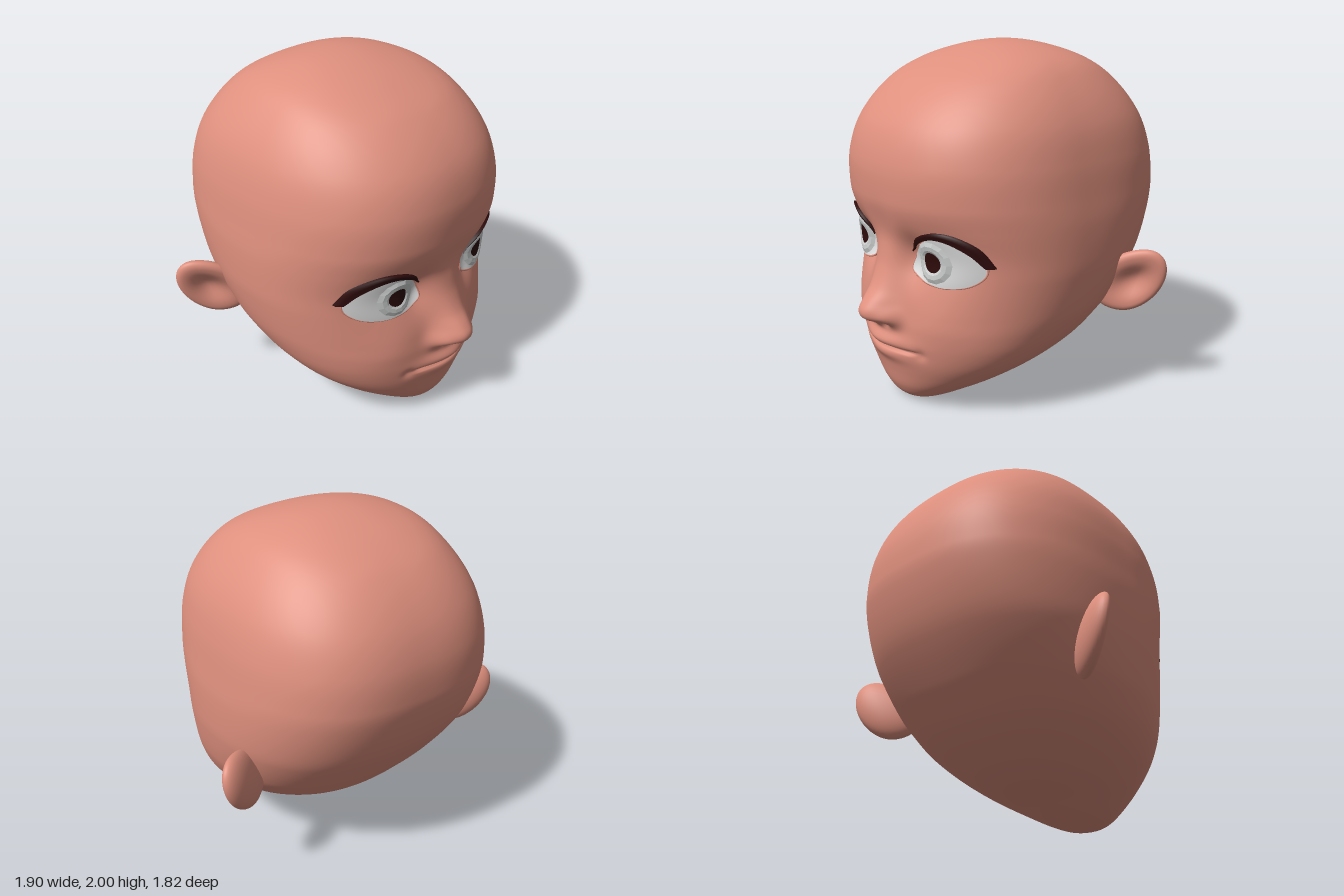
import * as THREE from 'three';

const mat = (name, color, opts = {}) => {
  const m = new THREE.MeshStandardMaterial({ color, ...opts });
  m.name = name;
  return m;
};

// Skull levels: y, half width, front z, back z, z of widest point, front and back roundness
const LEVELS = [
  [0, 0, .55, .55, .55, 2, 2],
  [.02, .13, .645, .44, .55, 2, 2],
  [.1, .30, .71, .19, .46, 2, 2],
  [.2, .46, .74, -.11, .36, 2, 2],
  [.3, .58, .765, -.31, .27, 2, 2.05],
  [.4, .66, .775, -.455, .18, 2.05, 2.15],
  [.5, .71, .77, -.55, .11, 2.1, 2.25],
  [.6, .745, .76, -.635, .06, 2.1, 2.35],
  [.8, .782, .745, -.775, .01, 2.15, 2.5],
  [.92, .79, .755, -.835, 0, 2.15, 2.57],
  [1.08, .79, .785, -.888, 0, 2.2, 2.65],
  [1.2, .78, .803, -.908, 0, 2.27, 2.7],
  [1.4, .755, .80, -.895, 0, 2.3, 2.7],
  [1.6, .70, .73, -.82, 0, 2.25, 2.65],
  [1.8, .575, .54, -.66, -.02, 2.25, 2.5],
  [1.9, .46, .345, -.5, -.06, 2.25, 2.4],
  [1.97, .265, .13, -.31, -.09, 2.1, 2.2],
  [2, 0, -.1, -.1, -.1, 2, 2],
];
// Nose ridge: y, height above the face
const NOSE = [[.42, 0], [.47, .02], [.505, .07], [.54, .132], [.585, .148], [.63, .125],
  [.7, .075], [.8, .036], [.9, .012], [1.0, 0], [1.3, 0]];

// Smooth interpolation through uneven knots
function hermite(ks, vs, k) {
  const n = ks.length;
  if (k <= ks[0]) return vs[0];
  if (k >= ks[n - 1]) return vs[n - 1];
  let i = 0;
  while (k > ks[i + 1]) i++;
  const slope = a => {
    const lo = Math.max(a - 1, 0), hi = Math.min(a + 1, n - 1);
    return (vs[hi] - vs[lo]) / (ks[hi] - ks[lo]);
  };
  const h = ks[i + 1] - ks[i], t = (k - ks[i]) / h, t2 = t * t, t3 = t2 * t;
  return (2 * t3 - 3 * t2 + 1) * vs[i] + (t3 - 2 * t2 + t) * h * slope(i)
    + (3 * t2 - 2 * t3) * vs[i + 1] + (t3 - t2) * h * slope(i + 1);
}

const angleOf = y => Math.acos(THREE.MathUtils.clamp(1 - y, -1, 1));
const knots = LEVELS.map(l => angleOf(l[0]));
const columns = [1, 2, 3, 4, 5, 6].map(c => LEVELS.map(l => l[c]));
const noseY = NOSE.map(p => p[0]), noseH = NOSE.map(p => p[1]);

function level(y) {
  const [w, zf, zb, cz, nf, nb] = columns.map(v => hermite(knots, v, angleOf(y)));
  return { w: Math.max(w, 1e-4), df: Math.max(zf - cz, 1e-4), db: Math.max(cz - zb, 1e-4), cz, nf, nb };
}

const bump = (x, y, cx, cy, sx, sy) => Math.exp(-(((x - cx) / sx) ** 2) - ((y - cy) / sy) ** 2);

// Forward relief of nose, lips, cheeks and eye sockets
function relief(x, y) {
  const a = Math.abs(x);
  const mouthY = .362 + .1 * a * a;
  const inMouth = 1 - THREE.MathUtils.smoothstep(a, .2, .28);
  return hermite(noseY, noseH, y) * Math.exp(-((a / .12) ** 2.5))
    + .03 * bump(a, y, .125, .555, .05, .05)
    - .03 * bump(a, y, .065, .505, .035, .02)
    + .042 * bump(a, y, 0, .405, .17, .042)
    + .024 * bump(a, y, 0, .32, .16, .04)
    - .026 * inMouth * Math.exp(-(((y - mouthY) / .011) ** 2))
    - .012 * bump(a, y, .28, .365, .03, .03)
    + .015 * bump(a, y, .38, .56, .15, .13)
    - .015 * bump(a, y, 0, 1.02, .12, .11)
    - .045 * bump(a, y, .37, .92, .2, .15)
    - .05 * bump(a, y, .21, .89, .09, .13);
}

// Depth of the face surface, and of the eyeball standing just proud of it
function faceZ(x, y) {
  const l = level(y);
  return l.cz + l.df * Math.pow(Math.max(0, 1 - (Math.abs(x) / l.w) ** l.nf), 1 / l.nf) + relief(x, y);
}
const eyeZ = (x, y) =>
  faceZ(x, y) + .008 + .022 * Math.max(0, 1 - ((x - .41) / .21) ** 2 - ((y - .905) / .14) ** 2);

// Surface from a grid of points; side -1 mirrors it across x
function grid(rows, cols, fn, wrap, side = 1) {
  const pos = [], idx = [], n = wrap ? cols : cols + 1;
  for (let i = 0; i <= rows; i++)
    for (let j = 0; j < n; j++) {
      const p = fn(i / rows, j / cols);
      pos.push(p[0] * side, p[1], p[2]);
    }
  for (let i = 0; i < rows; i++)
    for (let j = 0; j < cols; j++) {
      const k = (j + 1) % n;
      const a = i * n + j, b = i * n + k, c = b + n, d = a + n;
      if (side > 0) idx.push(a, b, c, a, c, d);
      else idx.push(a, c, b, a, d, c);
    }
  const g = new THREE.BufferGeometry();
  g.setAttribute('position', new THREE.Float32BufferAttribute(pos, 3));
  g.setIndex(idx);
  g.computeVertexNormals();
  return g;
}

const spline = (pts, closed) =>
  new THREE.CatmullRomCurve3(pts.map(p => new THREE.Vector3(p[0], p[1], 0)), closed);
const EYE = spline([[.182, .83], [.20, .91], [.27, .985], [.37, 1.035], [.46, 1.03], [.55, .975],
  [.60, .90], [.59, .85], [.53, .797], [.43, .772], [.33, .775], [.24, .793]], true);
const LASH_LOW = spline([[.2, .93], [.27, .99], [.37, 1.032], [.46, 1.022], [.55, .968], [.603, .90]]);
const LASH_TOP = spline([[.195, .935], [.26, 1.015], [.36, 1.065], [.47, 1.068], [.575, 1.01], [.632, .90]]);

export function createModel() {
  const skin = mat('skin', 0xdf907e);
  const white = mat('eye white', 0xe0e0e0, { side: THREE.DoubleSide });
  const grey = mat('iris grey', 0xcfd1d1, { side: THREE.DoubleSide, flatShading: true });
  const dark = mat('dark brown', 0x2e0b0b, { side: THREE.DoubleSide });
  const model = new THREE.Group();
  model.name = 'head';
  const add = (name, geo, m) => {
    const mesh = new THREE.Mesh(geo, m);
    mesh.name = name;
    model.add(mesh);
  };

  // Skull and face, with the mesh denser towards the front
  add('skullAndFace', grid(230, 170, (u, v) => {
    const y = 1 - Math.cos(u * Math.PI), l = level(y);
    const q = v * Math.PI * 2, th = q - .5 * Math.sin(q);
    const s = Math.sin(th), c = Math.cos(th);
    const n = c > 0 ? l.nf : l.nb, d = c > 0 ? l.df : l.db;
    const r = Math.pow(Math.abs(s / l.w) ** n + Math.abs(c / d) ** n, -1 / n);
    const x = r * s;
    return [x, y, l.cz + r * c + relief(x, y) * THREE.MathUtils.smoothstep(c, 0, .4)];
  }, true), skin);

  // Ear directions: outward and back, up, and forward from its face
  const U = new THREE.Vector3(.79, 0, -.61), V = new THREE.Vector3(.35, .93, -.1);
  const N = new THREE.Vector3().crossVectors(U, V).normalize();

  for (const side of [1, -1]) {
    const tag = side > 0 ? 'left' : 'right';

    // Eyeball filling the almond-shaped opening
    add(tag + 'EyeWhite', grid(12, 64, (u, v) => {
      const p = EYE.getPoint(v);
      const x = .39 + (p.x - .39) * u, y = .9 + (p.y - .9) * u;
      return [x, y, eyeZ(x, y)];
    }, true, side), white);

    // Eyelid rim
    const rim = Array.from({ length: 48 }, (_, i) => {
      const p = EYE.getPoint(i / 48);
      return new THREE.Vector3(p.x * side, p.y, faceZ(p.x, p.y) + .003);
    });
    add(tag + 'EyelidRim', new THREE.TubeGeometry(new THREE.CatmullRomCurve3(rim, true), 80, .006, 6, true), skin);

    // Faceted iris ring and flat pupil
    const disc = (r0, r1, lift, rows, segs) => grid(rows, segs, (u, v) => {
      const r = r0 + (r1 - r0) * u, a = -v * Math.PI * 2;
      const x = .345 + r * Math.cos(a), y = .9 + r * Math.sin(a);
      return [x, y, eyeZ(x, y) + lift(u)];
    }, true, side);
    add(tag + 'Iris', disc(.045, .115, u => .003 + .012 * Math.sin(u * Math.PI), 3, 14), grey);
    add(tag + 'Pupil', disc(0, .055, () => .008, 3, 20), dark);

    // Upper lash line, folded back to the skin along its top edge
    add(tag + 'Lash', grid(3, 32, (u, v) => {
      const a = LASH_LOW.getPoint(v), b = LASH_TOP.getPoint(v);
      const p = a.clone().lerp(b, Math.min(1, u * 1.5));
      const lift = u < .1 ? .012 : u < .5 ? .022 : u < .9 ? .02 : -.01;
      return [p.x, p.y, (u < .1 ? eyeZ(p.x, p.y) : faceZ(p.x, p.y)) + lift];
    }, false, side), dark);

    // Ear: rounded behind, hollowed on its front
    add(tag + 'Ear', grid(32, 44, (u, v) => {
      const la = (u - .5) * Math.PI, lo = v * Math.PI * 2;
      const eu = Math.cos(la) * Math.sin(lo), ev = Math.sin(la), en = Math.cos(la) * Math.cos(lo);
      const hollow = en > 0 ? .085 * Math.exp(-((eu * eu + ev * ev) / .35)) * Math.min(1, en * 1.5) : 0;
      const p = new THREE.Vector3(.797, .695, -.375)
        .addScaledVector(U, eu * (eu < 0 ? .22 : .165))
        .addScaledVector(V, ev * .205)
        .addScaledVector(N, en * (en > 0 ? .065 : .08) - hollow);
      return [p.x, p.y, p.z];
    }, true, side), skin);
  }
  return model;
}
